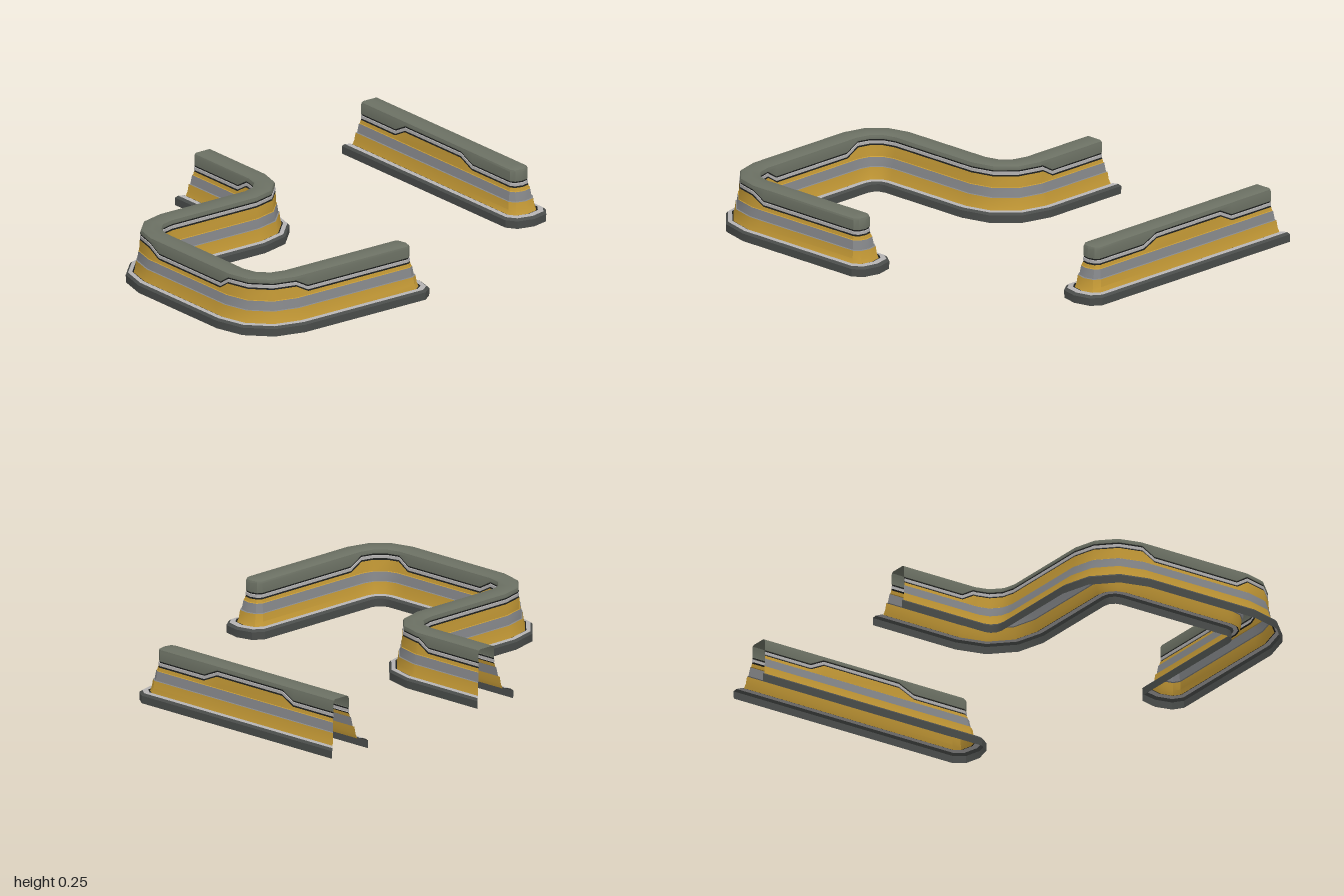
import * as THREE from 'three';
import { toCreasedNormals } from 'three/addons/utils/BufferGeometryUtils.js';

const DARK = 0x4a4d4b, LIGHT = 0xb4b2b2, YELLOW = 0xc59a36, GREY = 0x85878a, BLACK = 0x1b1d1c, OLIVE = 0x6b7063;

// Wall layers from the ground up: [half width, height, follows the raised trim?]
const LAYERS = [
  ['baseRim', DARK, [[0.111, 0], [0.112, 0.035], [0.102, 0.045]]],
  ['baseLedge', LIGHT, [[0.102, 0.045], [0.083, 0.048]]],
  ['baseGap', BLACK, [[0.083, 0.048], [0.077, 0.045]]],
  ['lowerPanel', YELLOW, [[0.077, 0.045], [0.071, 0.066], [0.067, 0.1]]],
  ['middleBand', GREY, [[0.067, 0.1], [0.062, 0.102], [0.056, 0.143]]],
  ['upperPanel', YELLOW, [[0.056, 0.143], [0.053, 0.145], [0.05, 0.16, 1]]],
  ['lowerGroove', BLACK, [[0.05, 0.16, 1], [0.046, 0.166, 1]]],
  ['trimStripe', LIGHT, [[0.046, 0.166, 1], [0.049, 0.167, 1], [0.049, 0.18, 1], [0.046, 0.181, 1]]],
  ['upperGroove', BLACK, [[0.046, 0.181, 1], [0.046, 0.187, 1]]],
  ['cap', OLIVE, [[0.046, 0.187, 1], [0.048, 0.188, 1], [0.048, 0.232], [0.045, 0.24], [0.037, 0.245], [0, 0.245]]],
];
const RAISE = 0.035;

// A point on the centre line: position, heading angle and trim raise (0 or 1)
const station = (x, z, angle, raise) => ({ x, z, dx: Math.cos(angle), dz: Math.sin(angle), raise });

// Quarter turn of the centre line; turn = 1 to the right, -1 to the left
function bend(cx, cz, from, turn) {
  const r = 0.165, out = [];
  for (let i = 0; i <= 3; i++) {
    const a = from + turn * i * Math.PI / 6;
    out.push(station(cx + turn * r * Math.sin(a), cz - turn * r * Math.cos(a), a, 1));
  }
  return out;
}

// Outline of one layer edge: right side, rounded end, left side
function outline(path, [h, y, follows]) {
  const at = (s, along, side) =>
    [s.x + s.dx * along - s.dz * side, y + (follows ? RAISE * s.raise : 0), s.z + s.dz * along + s.dx * side];
  const slant = -Math.max(0, h - 0.05) * 0.9; // slanted cut at the open end
  const sides = path.slice(0, -1), end = path[path.length - 1];
  const along = (i) => (i === 0 ? slant : 0);
  const right = sides.map((s, i) => at(s, along(i), h));
  const left = sides.map((s, i) => at(s, along(i), -h)).reverse();
  const round = [];
  for (let i = 0; i <= 4; i++) {
    const a = i * Math.PI / 4;
    round.push(at(end, h * (0.77 + 0.58 * Math.sin(a)), h * Math.cos(a)));
  }
  return [...right, ...round, ...left];
}

// Strips of quads between successive outlines
function layerMesh(path, [name, color, profile]) {
  const rows = profile.map((p) => outline(path, p));
  const n = rows[0].length, index = [];
  for (let r = 0; r < rows.length - 1; r++) {
    for (let i = 0; i < n - 1; i++) {
      const a = r * n + i, b = a + n;
      index.push(a, a + 1, b + 1, a, b + 1, b);
    }
  }
  const geo = new THREE.BufferGeometry();
  geo.setAttribute('position', new THREE.Float32BufferAttribute(rows.flat(2), 3));
  geo.setIndex(index);
  const mesh = new THREE.Mesh(
    toCreasedNormals(geo, 0.6),
    new THREE.MeshStandardMaterial({ color, side: THREE.DoubleSide }),
  );
  mesh.name = name;
  return mesh;
}

function wall(name, path) {
  const group = new THREE.Group();
  group.name = name;
  LAYERS.forEach((layer) => group.add(layerMesh(path, layer)));
  return group;
}

export function createModel() {
  const model = new THREE.Group();
  model.name = 'barrierWalls';

  // Straight wall at the back, with the trim raised in the middle
  const zb = -0.889;
  model.add(wall('straightWall', [
    station(-0.785, zb, 0, 0), station(-0.54, zb, 0, 0), station(-0.47, zb, 0, 1),
    station(-0.07, zb, 0, 1), station(0.01, zb, 0, 0), station(0.245, zb, 0, 0),
  ]));

  // Winding wall with three bends, with the trim raised around them
  const q = Math.PI / 2;
  model.add(wall('windingWall', [
    station(-0.72, 0.083, 0, 0), station(-0.41, 0.083, 0, 0), station(-0.35, 0.083, 0, 1),
    ...bend(-0.335, 0.248, 0, 1),
    ...bend(-0.005, 0.715, q, -1),
    station(0.06, 0.88, 0, 0), station(0.5, 0.88, 0, 0),
    ...bend(0.555, 0.715, 0, -1),
    station(0.72, 0.65, -q, 0), station(0.72, 0.135, -q, 0),
  ]));
  return model;
}
